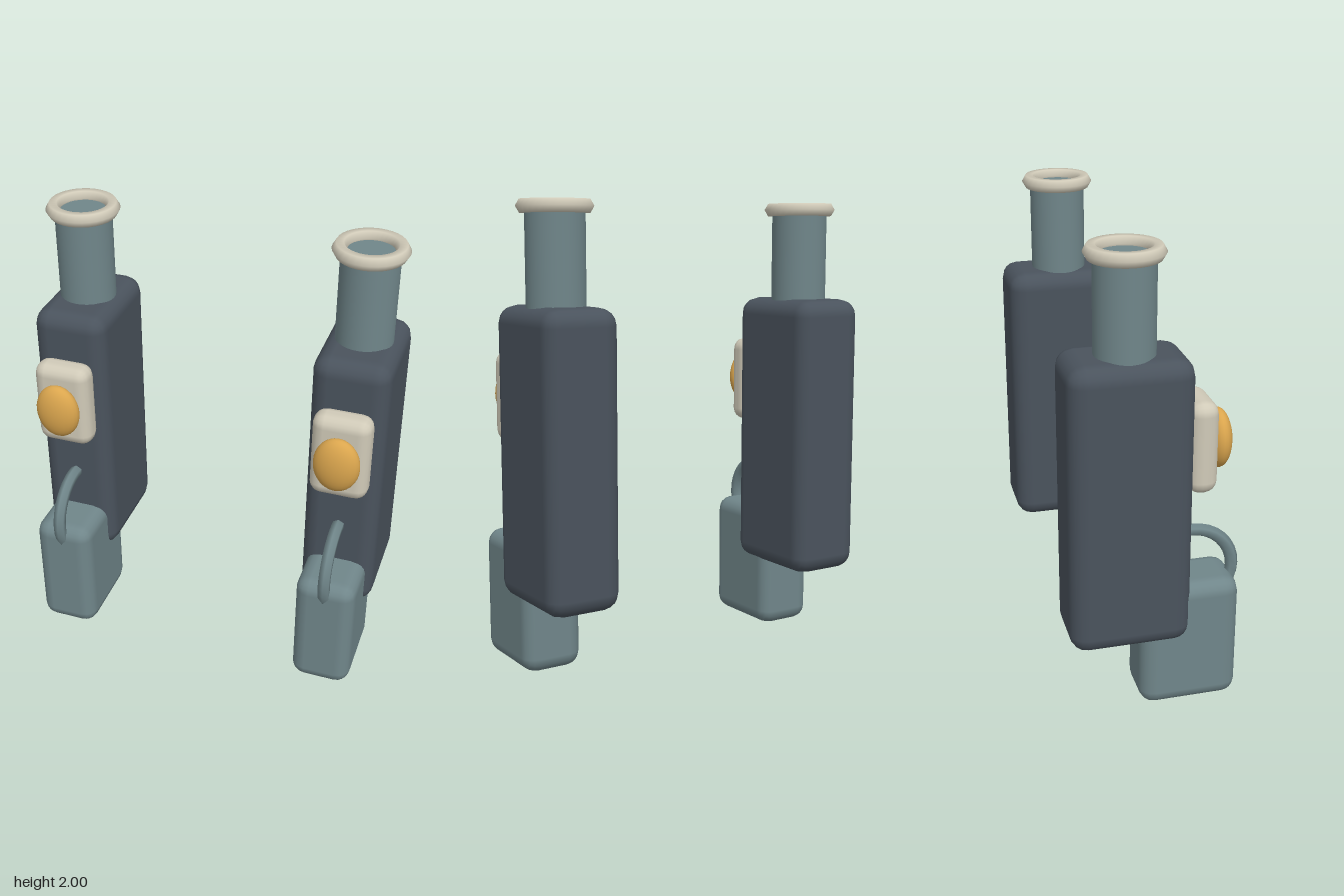
import * as THREE from 'three';
import { RoundedBoxGeometry } from 'three/addons/geometries/RoundedBoxGeometry.js';

const material = (name, color) => {
  const m = new THREE.MeshStandardMaterial({ color });
  m.name = name;
  return m;
};

export function createModel() {
  const slate = material('dark slate', 0x4a535d);
  const teal = material('grey teal', 0x70868a);
  const cream = material('cream', 0xd0cab8);
  const amber = material('amber', 0xdba64e);

  const add = (parent, name, geometry, mat, x, y, z) => {
    const mesh = new THREE.Mesh(geometry, mat);
    mesh.name = name;
    mesh.position.set(x, y, z);
    parent.add(mesh);
    return mesh;
  };
  const box = (w, h, d, r) => new RoundedBoxGeometry(w, h, d, 2, r);

  const makeUnit = (name, x) => {
    const unit = new THREE.Group();
    unit.name = name;
    unit.position.x = x;

    // Tall housing and the lower canister in front of it
    add(unit, 'housing', box(0.335, 1.25, 0.51, 0.075), slate, 0, 0.945, -0.123);
    add(unit, 'canister', box(0.27, 0.57, 0.425, 0.065), teal, 0, 0.285, 0.137);

    // Chimney pipe with a faceted rim
    add(unit, 'pipe', new THREE.CylinderGeometry(0.124, 0.124, 0.45, 32), teal, 0, 1.74, -0.123);
    const rim = add(unit, 'pipeRim', new THREE.TorusGeometry(0.128, 0.032, 6, 32), cream, 0, 1.972, -0.123);
    rim.rotation.x = Math.PI / 2;

    // Front plate and its oval lamp
    add(unit, 'lampPlate', box(0.255, 0.395, 0.125, 0.055), cream, 0, 1.173, 0.178);
    const lamp = add(unit, 'lamp', new THREE.SphereGeometry(1, 24, 16), amber, 0, 1.175, 0.265);
    lamp.scale.set(0.1, 0.127, 0.055);

    // Hose looping from the housing into the canister
    const hose = add(unit, 'hose', new THREE.TorusGeometry(0.183, 0.028, 6, 32), teal, 0, 0.58, 0.165);
    hose.rotation.y = Math.PI / 2;
    return unit;
  };

  const model = new THREE.Group();
  model.name = 'twinPacks';
  model.add(makeUnit('leftPack', 0.628), makeUnit('rightPack', -0.628));
  return model;
}
